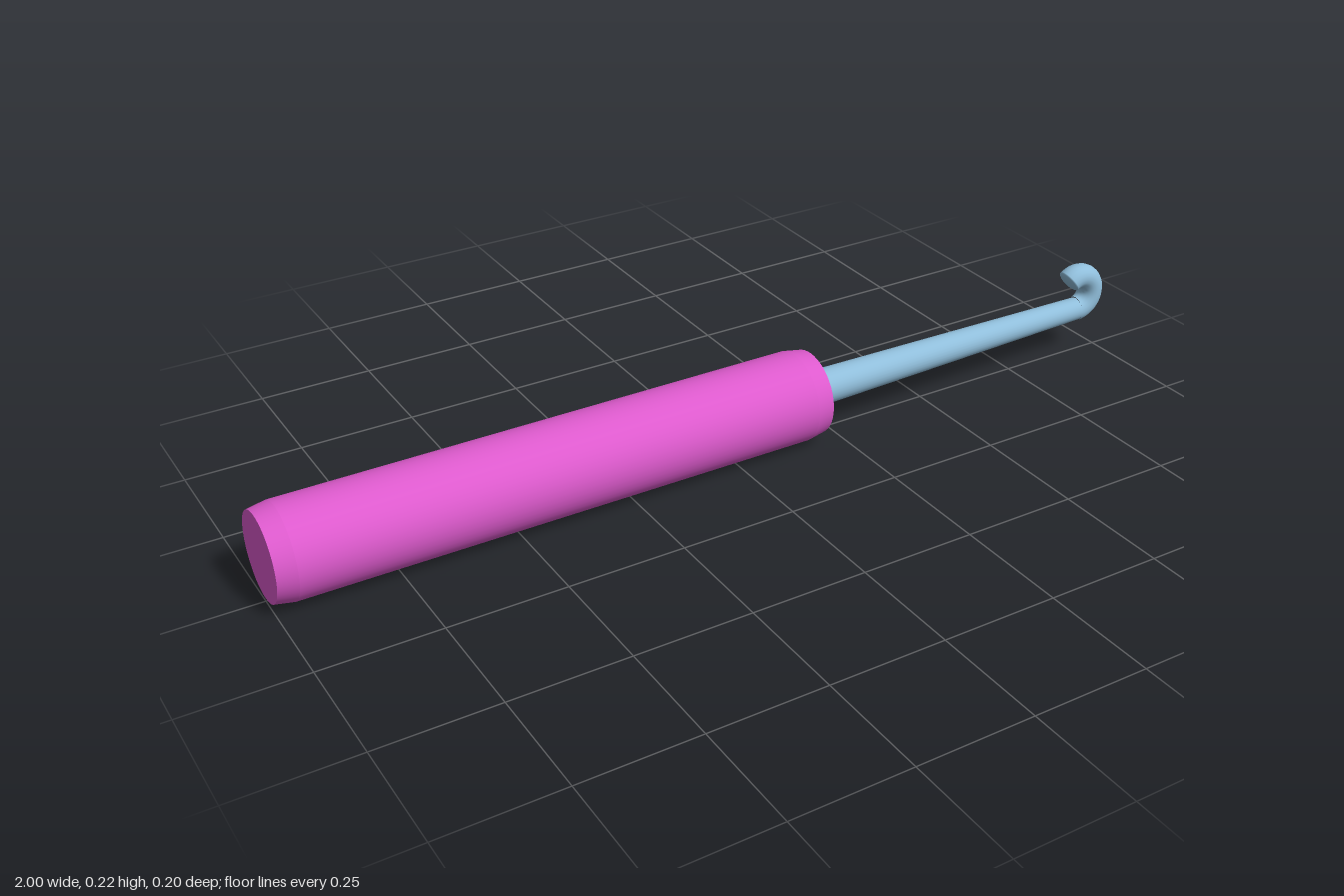
import * as THREE from 'three';

export function createModel() {
  const model = new THREE.Group();
  const pink = new THREE.MeshStandardMaterial({ color: 0xdd5acd });
  pink.name = 'pink plastic';
  const blue = new THREE.MeshStandardMaterial({ color: 0x90bedb });
  blue.name = 'pale blue metal';

  const add = (name, geometry, material, parent = model) => {
    const mesh = new THREE.Mesh(geometry, material);
    mesh.name = name;
    parent.add(mesh);
    return mesh;
  };

  // Handle: a long cylinder with narrow chamfers and flat ends, lying along x
  const R = 0.098, END = 0.091, BEVEL = 0.04;
  const handle = new THREE.Group();
  handle.name = 'handle';
  handle.position.set(-0.398, 0.098, 0);
  handle.rotation.z = -Math.PI / 2;
  model.add(handle);
  const half = 0.602;
  add('handleBody', new THREE.CylinderGeometry(R, R, 2 * (half - BEVEL), 48, 1, true), pink, handle);
  for (const s of [-1, 1]) {
    const chamfer = new THREE.CylinderGeometry(END, R, BEVEL, 48);
    const end = add('handleEnd', chamfer, pink, handle);
    end.position.y = s * (half - BEVEL / 2);
    if (s < 0) end.rotation.x = Math.PI;
  }

  // Hook: most of a ring, opening back towards the handle
  const RING = 0.041, TUBE = 0.028, ARC = THREE.MathUtils.degToRad(214);
  const hook = new THREE.Group();
  hook.name = 'hook';
  hook.position.set(0.931, 0.149, 0.002);
  hook.rotation.z = -Math.PI / 2;
  model.add(hook);
  add('hookBend', new THREE.TorusGeometry(RING, TUBE, 20, 40, ARC), blue, hook);

  // Blunt rounded tip closing the free end
  const tip = add('hookTip', new THREE.SphereGeometry(TUBE, 20, 8, 0, Math.PI * 2, 0, Math.PI / 2), blue, hook);
  tip.position.set(RING * Math.cos(ARC), RING * Math.sin(ARC), 0);
  tip.rotation.z = ARC;
  tip.scale.y = 0.3;

  // Shaft: tapers from the handle to the start of the bend
  const from = new THREE.Vector3(0.18, 0.1, 0);
  const to = new THREE.Vector3(0.933, 0.107, 0.002);
  const along = to.clone().sub(from);
  const shaft = add('shaft', new THREE.CylinderGeometry(0.026, 0.04, along.length(), 32), blue);
  shaft.position.copy(from).add(to).multiplyScalar(0.5);
  shaft.quaternion.setFromUnitVectors(new THREE.Vector3(0, 1, 0), along.normalize());

  return model;
}
